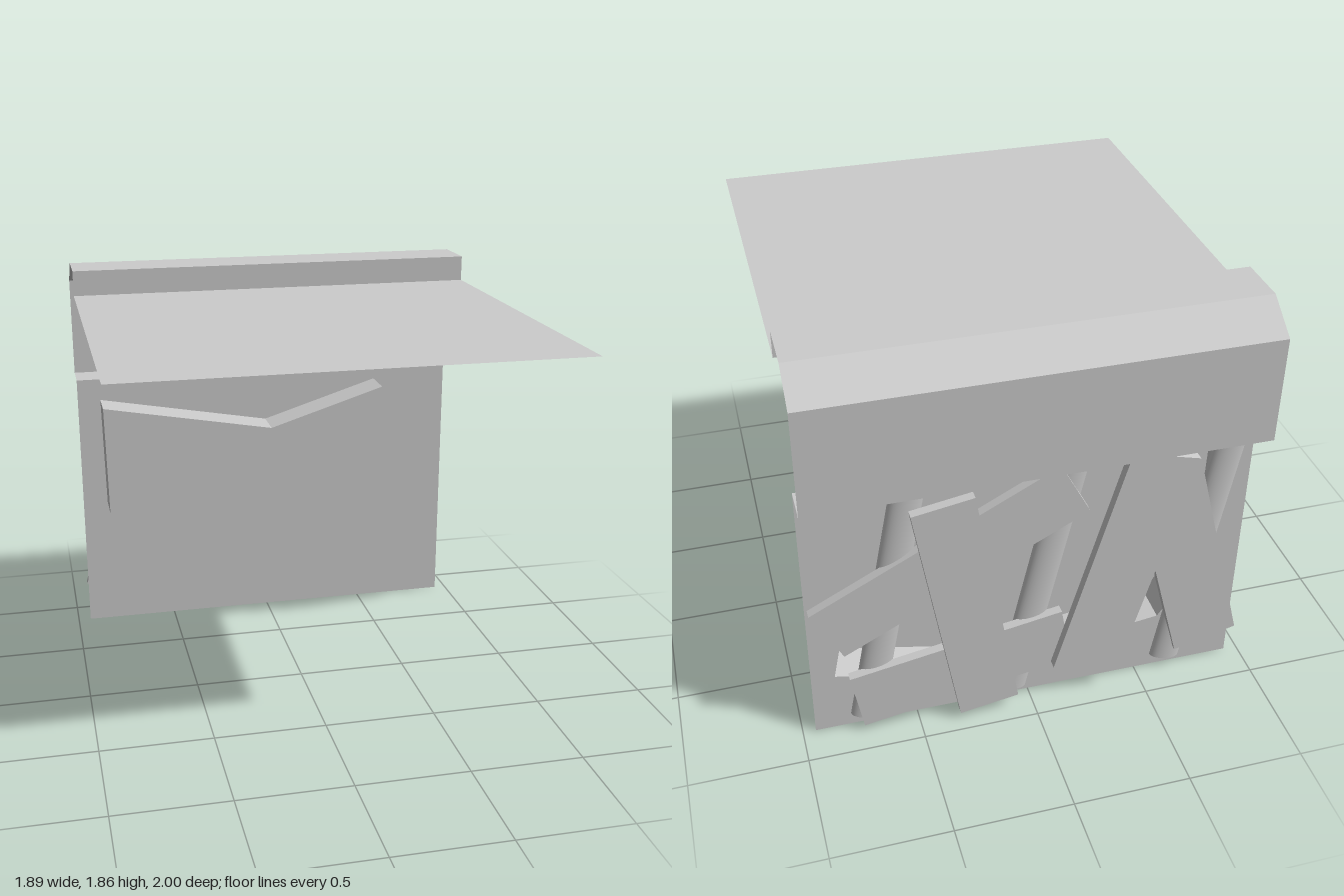
import * as THREE from 'three';

const X0 = -0.94, X1 = 0.945, WALL_Z = -0.843, BAY_Z = -0.675;
const material = new THREE.MeshStandardMaterial({ color: 0xcccccc, side: THREE.DoubleSide });

// Flat-shaded strip of quads between two matching rows of points
function ribbon(rowA, rowB) {
  const pos = [];
  for (let i = 0; i < rowA.length - 1; i++) {
    const [a, b, c, d] = [rowA[i], rowA[i + 1], rowB[i + 1], rowB[i]];
    pos.push(...a, ...b, ...c, ...a, ...c, ...d);
  }
  const g = new THREE.BufferGeometry();
  g.setAttribute('position', new THREE.Float32BufferAttribute(pos, 3));
  g.computeVertexNormals();
  return g;
}

function add(parent, name, geometry) {
  const mesh = new THREE.Mesh(geometry, material);
  mesh.name = name;
  parent.add(mesh);
  return mesh;
}

// Lay a part whose length is along y between two points (x, y)
function layBetween(mesh, [ax, ay], [bx, by], z) {
  mesh.position.set((ax + bx) / 2, (ay + by) / 2, z);
  mesh.rotation.z = -Math.atan2(bx - ax, by - ay);
}

export function createModel() {
  const model = new THREE.Group();
  model.name = 'boardedWindow';

  // Opening outline, counter-clockwise from the front
  const outline = [
    [-0.83, 1.18], [-0.82, 0.64], [-0.59, 0.29], [0.28, 0.17],
    [0.845, 0.295], [0.78, 0.64], [0.57, 1.21], [0, 1.03],
  ];
  const toVectors = () => outline.map(([x, y]) => new THREE.Vector2(x, y));

  // Wall with the irregular opening
  const wallShape = new THREE.Shape([
    new THREE.Vector2(X0, 0), new THREE.Vector2(X1, 0),
    new THREE.Vector2(X1, 1.285), new THREE.Vector2(X0, 1.285),
  ]);
  wallShape.holes.push(new THREE.Path(toVectors().reverse()));
  add(model, 'wall', new THREE.ShapeGeometry(wallShape)).position.z = WALL_Z;

  // Recess behind the boards: sides and closed front pane
  const loop = [...outline, outline[0]];
  add(model, 'recessSides', ribbon(
    loop.map(([x, y]) => [x, y, WALL_Z]),
    loop.map(([x, y]) => [x, y, BAY_Z])));
  add(model, 'recessPane', new THREE.ShapeGeometry(new THREE.Shape(toVectors()))).position.z = BAY_Z;

  // Folded sheet over the wall: ledge, fascia, slope, cap, riser, canopy (z, y)
  const fold = [
    [WALL_Z, 1.285], [-1, 1.285], [-1, 1.75], [-0.845, 1.86],
    [-0.62, 1.86], [-0.62, 1.745], [1, 1.745],
  ];
  add(model, 'canopy', ribbon(
    fold.map(([z, y]) => [X0, y, z]),
    fold.map(([z, y]) => [X1, y, z])));

  // Rounded upright slats against the wall
  const slats = [
    [[0.72, 0.05], [0.5, 1.26]],
    [[0.08, 0.05], [-0.17, 1.26]],
    [[-0.64, 0.05], [-0.84, 1.24]],
  ];
  for (const [a, b] of slats) {
    const length = Math.hypot(b[0] - a[0], b[1] - a[1]);
    const g = new THREE.CylinderGeometry(0.07, 0.07, length, 16, 1, false, Math.PI / 2, Math.PI);
    g.scale(1, 1, 0.5);
    layBetween(add(model, 'slat', g), a, b, WALL_Z);
  }

  // Boards nailed across the opening: ends, width, layer depth
  const boards = [
    [[0.87, 0.58], [-0.16, 1.125], 0.28, -0.88],
    [[0.765, 0.175], [-0.15, 0.335], 0.29, -0.88],
    [[-0.805, 0.157], [-0.53, 1.2], 0.29, -0.88],
    [[0.20, 0.055], [0.39, 1.175], 0.26, -0.92],
    [[-0.23, 0.16], [-0.52, 1.245], 0.3, -0.92],
  ];
  for (const [a, b, width, z] of boards) {
    const length = Math.hypot(b[0] - a[0], b[1] - a[1]);
    layBetween(add(model, 'board', new THREE.BoxGeometry(width, length, 0.04)), a, b, z);
  }

  return model;
}
